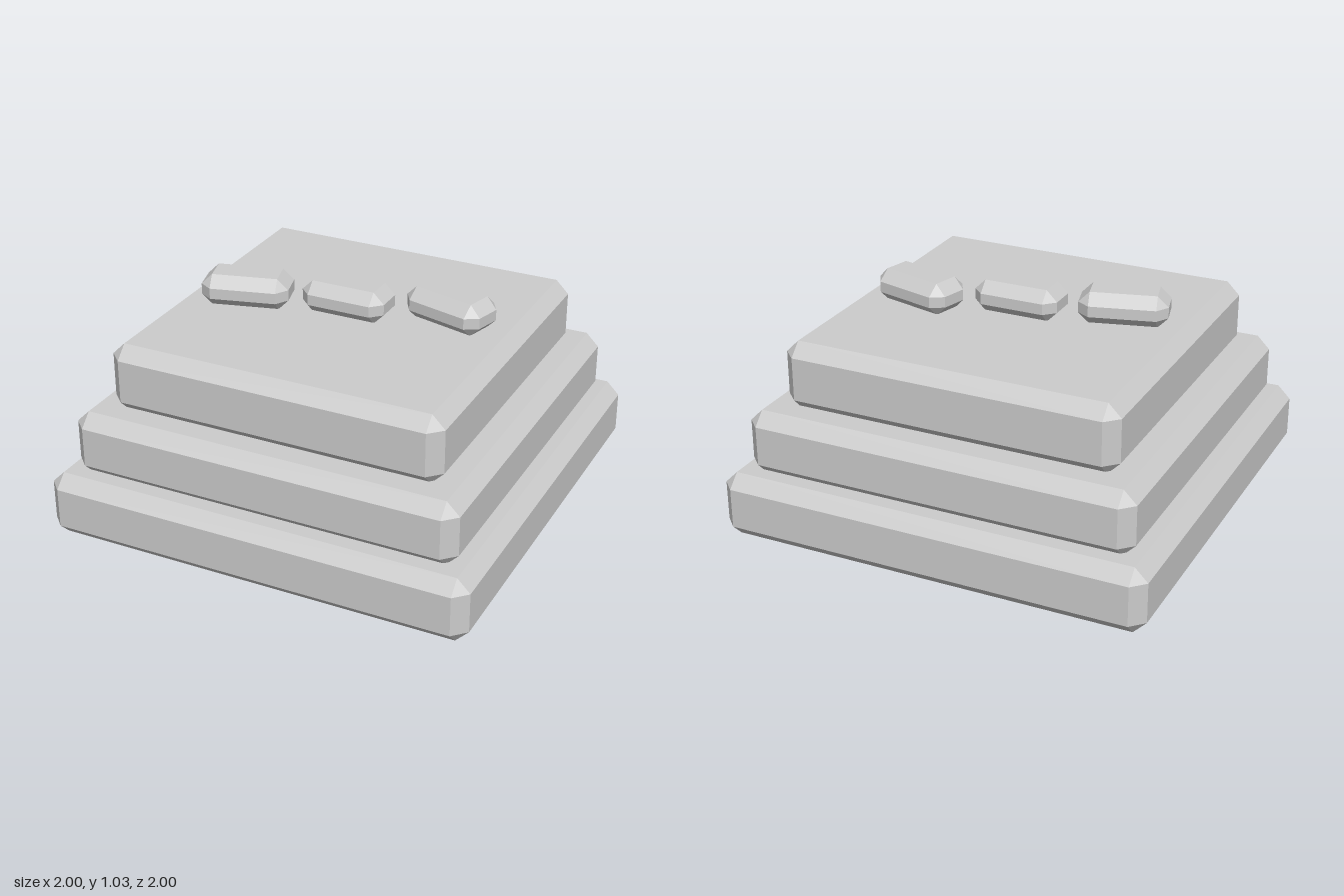
import * as THREE from 'three';
import { ConvexGeometry } from 'three/addons/geometries/ConvexGeometry.js';

// Box with every edge chamfered by b and a flat triangle at each corner
function chamferedBox(width, height, depth, b) {
  const points = [];
  for (const sx of [-1, 1]) for (const sy of [-1, 1]) for (const sz of [-1, 1]) {
    const x = width / 2, y = height / 2, z = depth / 2;
    points.push(
      new THREE.Vector3(sx * x, sy * (y - b), sz * (z - b)),
      new THREE.Vector3(sx * (x - b), sy * y, sz * (z - b)),
      new THREE.Vector3(sx * (x - b), sy * (y - b), sz * z)
    );
  }
  return new ConvexGeometry(points);
}

export function createModel() {
  const model = new THREE.Group();
  model.name = 'steppedPedestal';
  const stone = new THREE.MeshStandardMaterial({ color: 0xcccccc, flatShading: true });
  stone.name = 'light grey stone';

  // Three square tiers, each sunk slightly into the one below
  const tiers = [
    ['bottomTier', 2, 0, 0.305],
    ['middleTier', 1.815, 0.285, 0.588],
    ['topTier', 1.565, 0.57, 0.89],
  ];
  for (const [name, size, bottom, top] of tiers) {
    const tier = new THREE.Mesh(chamferedBox(size, top - bottom, size, 0.06), stone);
    tier.name = name;
    tier.position.y = (bottom + top) / 2;
    model.add(tier);
  }

  // Three small blocks resting on top, the outer two turned
  const blockGeometry = chamferedBox(0.4, 0.15, 0.22, 0.05);
  const blocks = [
    ['rightBlock', -0.457, 0.1, 0.26],
    ['centreBlock', 0, 0, 0],
    ['leftBlock', 0.452, -0.105, -0.26],
  ];
  for (const [name, x, z, turn] of blocks) {
    const block = new THREE.Mesh(blockGeometry, stone);
    block.name = name;
    block.position.set(x, 0.957, z);
    block.rotation.y = turn;
    model.add(block);
  }
  return model;
}
